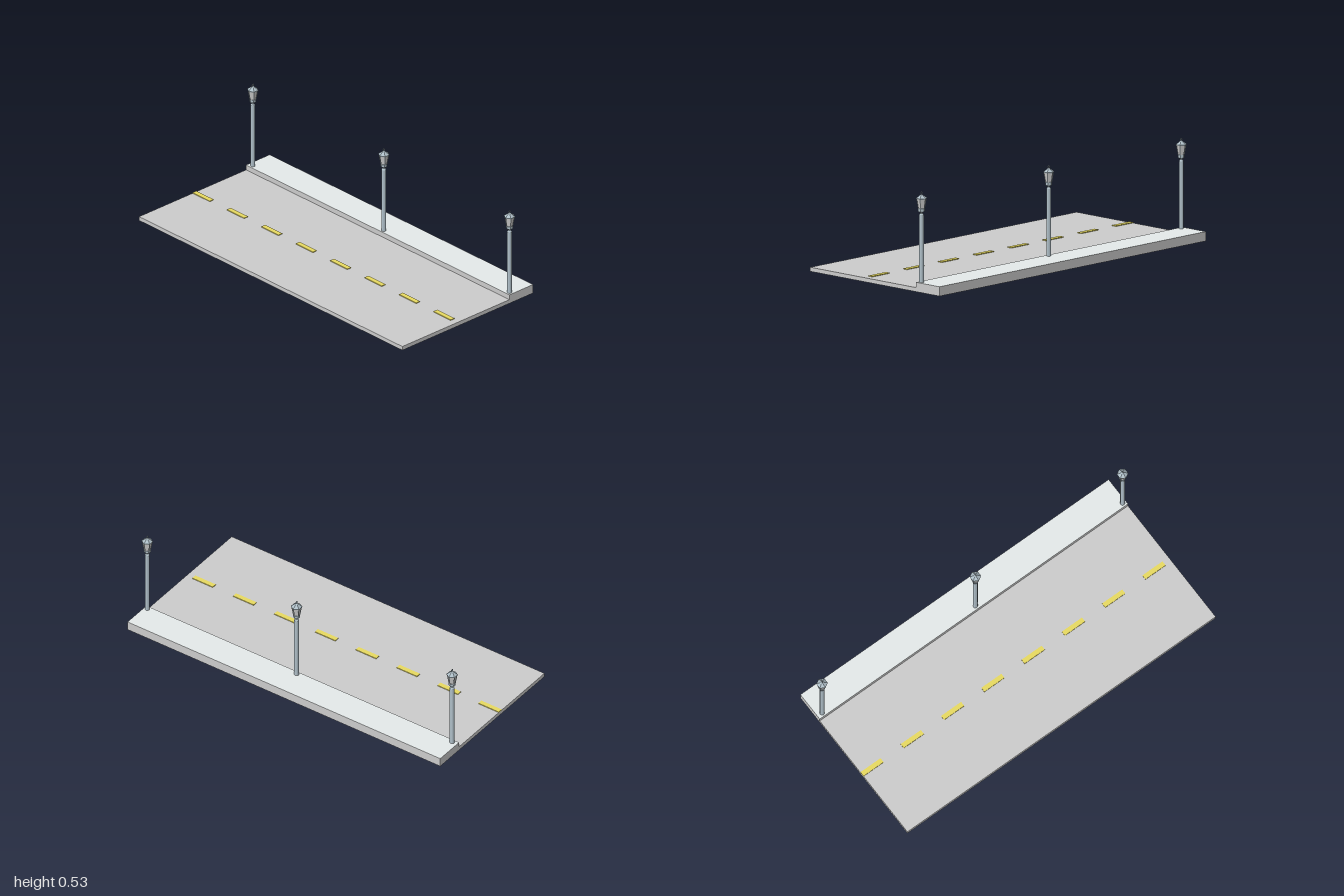
import * as THREE from 'three';

const mat = (color) => new THREE.MeshStandardMaterial({ color, flatShading: true });
const grey = mat(0xcccccc);
const paving = mat(0xe4eaea);
const metal = mat(0xafbfc8);
const yellow = mat(0xe8da60);

function add(parent, name, geometry, material, x = 0, y = 0, z = 0) {
  const mesh = new THREE.Mesh(geometry, material);
  mesh.name = name;
  mesh.position.set(x, y, z);
  parent.add(mesh);
  return mesh;
}

// box given by its limits on each axis
function slab(parent, name, material, [x0, x1], [y0, y1], [z0, z1]) {
  return add(parent, name, new THREE.BoxGeometry(x1 - x0, y1 - y0, z1 - z0), material,
    (x0 + x1) / 2, (y0 + y1) / 2, (z0 + z1) / 2);
}

// six-sided turned part with a flat side to the front
function hex(parent, name, material, profile) {
  const points = profile.map(([r, y]) => new THREE.Vector2(r, y));
  const geometry = new THREE.LatheGeometry(points, 6).rotateY(Math.PI / 6);
  return add(parent, name, geometry, material);
}

// straight bar between two points
function bar(parent, name, a, b, radius) {
  const mesh = add(parent, name, new THREE.CylinderGeometry(radius, radius, a.distanceTo(b), 4), metal);
  mesh.position.copy(a).add(b).multiplyScalar(0.5);
  mesh.quaternion.setFromUnitVectors(new THREE.Vector3(0, 1, 0), b.clone().sub(a).normalize());
}

function createLamp() {
  const lamp = new THREE.Group();
  lamp.name = 'streetLamp';

  // post with a bevelled top
  add(lamp, 'post', new THREE.CylinderGeometry(0.0125, 0.0125, 0.357, 12), metal, 0, 0.2285, 0);
  add(lamp, 'postCap', new THREE.CylinderGeometry(0.007, 0.0125, 0.008, 12), metal, 0, 0.411, 0);

  // lantern base, glass and roof
  hex(lamp, 'lanternBase', metal, [[0, 0.413], [0.005, 0.413], [0.006, 0.419], [0.016, 0.424],
    [0.018, 0.427], [0.018, 0.441], [0.016, 0.443], [0, 0.443]]);
  hex(lamp, 'lanternGlass', grey, [[0.0165, 0.442], [0.0255, 0.492]]);
  hex(lamp, 'lanternRoof', metal, [[0, 0.49], [0.028, 0.491], [0.03, 0.496], [0.012, 0.509],
    [0.009, 0.512], [0.004, 0.515], [0, 0.515]]);

  // corner bars of the lantern
  for (let i = 0; i < 6; i++) {
    const a = (i * Math.PI) / 3;
    const at = (r, y) => new THREE.Vector3(r * Math.cos(a), y, r * Math.sin(a));
    bar(lamp, 'lanternBar', at(0.0175, 0.441), at(0.0265, 0.493), 0.0016);
  }

  // ring on the roof
  add(lamp, 'topRing', new THREE.TorusGeometry(0.0055, 0.0022, 6, 12), metal, 0, 0.522, 0);
  return lamp;
}

export function createModel() {
  const model = new THREE.Group();
  model.name = 'streetSection';
  const length = [-1, 0.99];

  // carriageway and raised pavement
  slab(model, 'road', grey, [-0.465, 0.297], [0, 0.022], length);
  slab(model, 'pavement', grey, [0.297, 0.465], [0, 0.05], length);
  const top = add(model, 'pavementTop', new THREE.PlaneGeometry(0.168, 1.99), paving, 0.381, 0.0503, -0.005);
  top.rotation.x = -Math.PI / 2;

  // dashed centre line
  for (let i = 0; i < 8; i++) {
    const z = -1 + i * 0.26;
    slab(model, 'laneDash', yellow, [-0.084, -0.057], [0.02, 0.026], [z, z + 0.13]);
  }

  // lamps along the kerb
  for (const z of [-0.97, 0.02, 0.97]) {
    const lamp = createLamp();
    lamp.position.set(0.317, 0, z);
    model.add(lamp);
  }
  return model;
}
